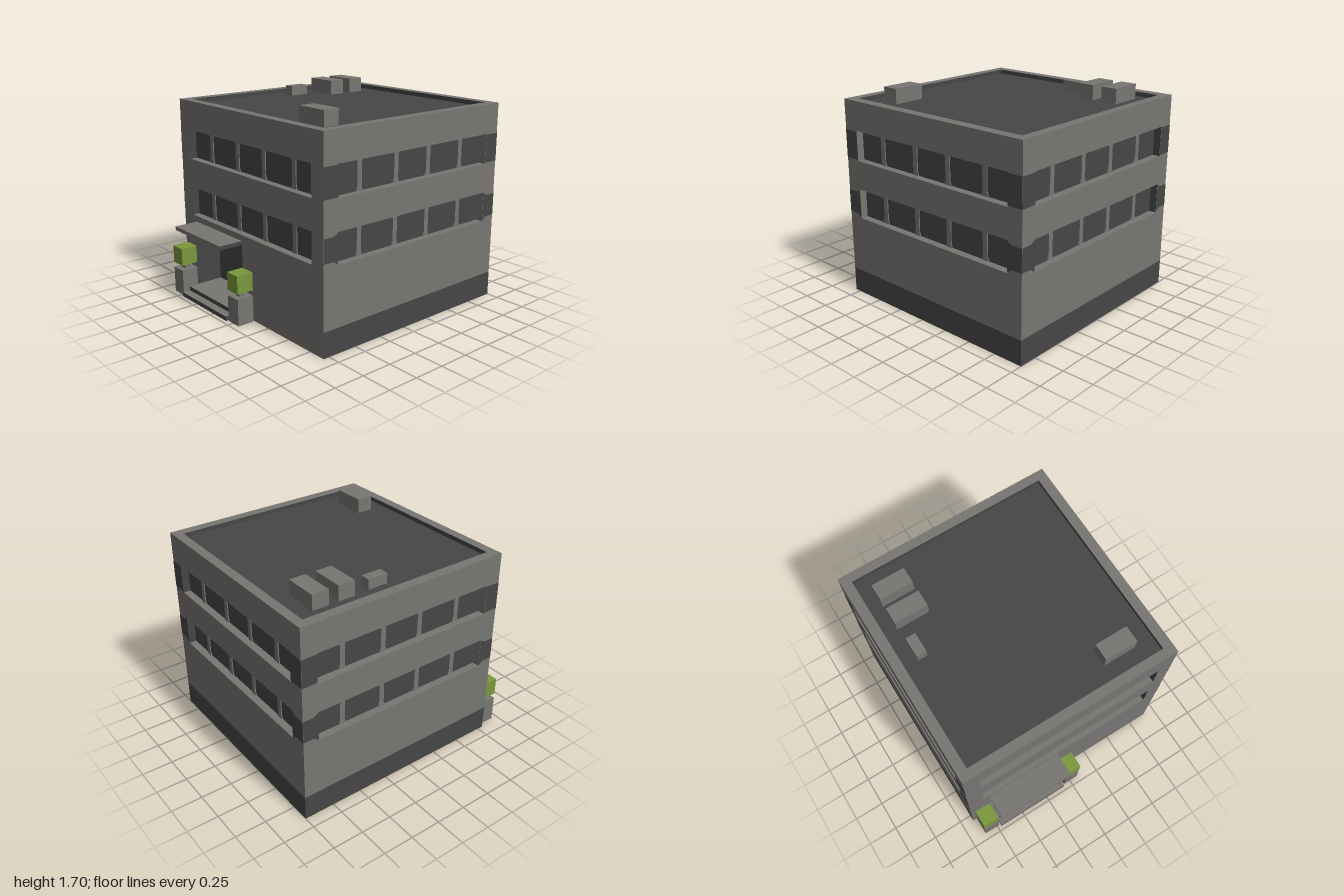
import * as THREE from 'three';

const flat = (name, color) => {
  const m = new THREE.MeshStandardMaterial({ color, side: THREE.DoubleSide });
  m.name = name;
  return m;
};

export function createModel() {
  const concrete = flat('concrete', 0x777673);
  const dark = flat('darkGrey', 0x464646);
  const leaf = flat('leafGreen', 0x7a983c);
  const model = new THREE.Group();
  model.name = 'officeBuilding';

  const add = (parent, name, geometry, material, x = 0, y = 0, z = 0) => {
    const mesh = new THREE.Mesh(geometry, material);
    mesh.name = name;
    mesh.position.set(x, y, z);
    parent.add(mesh);
    return mesh;
  };
  // box given by its min and max corners
  const box = (parent, name, mat, [x0, y0, z0], [x1, y1, z1]) =>
    add(parent, name, new THREE.BoxGeometry(x1 - x0, y1 - y0, z1 - z0), mat,
      (x0 + x1) / 2, (y0 + y1) / 2, (z0 + z1) / 2);
  const outline = (points) => new THREE.Shape(points.map(([x, y]) => new THREE.Vector2(x, y)));
  const rect = (x0, y0, x1, y1) => outline([[x0, y0], [x1, y0], [x1, y1], [x0, y1]]);
  const sheet = (shape) => new THREE.ShapeGeometry(shape);

  const H = 1.615, HALF = 0.9, WIN = 0.773, DEPTH = 0.06;
  const rows = [[0.665, 0.905], [1.14, 1.38]];
  const pillars = [-0.53, -0.173, 0.163, 0.52];

  // open recess: sill, soffit and two jambs running back from z = front
  const recess = (parent, name, [x0, y0, x1, y1], depth, front, sillMat, topMat, jambMat) => {
    const w = x1 - x0, h = y1 - y0, cx = (x0 + x1) / 2, cy = (y0 + y1) / 2, z = front - depth / 2;
    const level = () => new THREE.PlaneGeometry(w, depth).rotateX(-Math.PI / 2);
    const side = () => new THREE.PlaneGeometry(depth, h).rotateY(Math.PI / 2);
    add(parent, name + 'Sill', level(), sillMat, cx, y0, z);
    add(parent, name + 'Soffit', level(), topMat, cx, y1, z);
    add(parent, name + 'JambA', side(), jambMat, x0, cy, z);
    add(parent, name + 'JambB', side(), jambMat, x1, cy, z);
    add(parent, name + 'Pane', new THREE.PlaneGeometry(w, h), dark, cx, cy, front - depth);
  };

  // pillar between panes, slightly flared at head and foot
  const pillarGeometry = (y0, y1) => {
    const a = 0.021, b = 0.03, f = 0.035;
    const g = new THREE.ExtrudeGeometry(outline([
      [-b, y0], [b, y0], [a, y0 + f], [a, y1 - f], [b, y1],
      [-b, y1], [-a, y1 - f], [-a, y0 + f]]), { depth: 0.016, bevelEnabled: false });
    return g.translate(0, 0, -DEPTH - 0.008);
  };

  const shell = new THREE.Group();
  shell.name = 'shell';
  shell.position.z = -0.1;
  model.add(shell);

  // four walls, each built facing +z and turned into place
  ['frontWall', 'leftWall', 'backWall', 'rightWall'].forEach((name, i) => {
    const turn = new THREE.Group();
    turn.name = name;
    turn.rotation.y = i * Math.PI / 2;
    const wall = new THREE.Group();
    wall.position.z = HALF;
    turn.add(wall);
    shell.add(turn);

    const face = i === 0
      ? outline([[-HALF, 0], [-0.72, 0], [-0.72, 0.6], [-0.07, 0.6], [-0.07, 0], [HALF, 0], [HALF, H], [-HALF, H]])
      : rect(-HALF, 0.2, HALF, H);
    rows.forEach(([y0, y1]) => face.holes.push(rect(-WIN, y0, WIN, y1)));
    add(wall, 'wallFace', sheet(face), concrete);

    rows.forEach(([y0, y1]) => {
      recess(wall, 'window', [-WIN, y0, WIN, y1], DEPTH, 0, concrete, dark, i % 2 ? concrete : dark);
      pillars.forEach((x) => add(wall, 'windowPillar', pillarGeometry(y0, y1), concrete, x));
    });

    // dark plinth and the dark bands that wrap the corners
    if (i > 0) {
      add(wall, 'plinth', sheet(rect(-HALF, 0, HALF, 0.2)), dark);
      [-1, 1].forEach((s) => {
        add(wall, 'upperCornerBand', sheet(rect(s * WIN, 1.15, s * HALF, 1.375)), dark, 0, 0, 0.002);
        add(wall, 'lowerCornerBand', sheet(outline([
          [s * WIN, 0.672], [s * 0.815, 0.7], [s * HALF, 0.7],
          [s * HALF, 0.88], [s * 0.815, 0.88], [s * WIN, 0.9]])), dark, 0, 0, 0.002);
      });
    }
  });

  // parapet rim, its inner faces and the sunken roof
  const rim = rect(-HALF, -HALF, HALF, HALF);
  rim.holes.push(rect(-0.82, -0.825, 0.82, 0.825));
  add(shell, 'parapetRim', sheet(rim).rotateX(-Math.PI / 2), concrete, 0, H, 0);
  const ROOF = 1.58;
  [-1, 1].forEach((s) => {
    add(shell, 'parapetSide', new THREE.PlaneGeometry(1.65, H - ROOF).rotateY(-s * Math.PI / 2), dark,
      s * 0.82, (H + ROOF) / 2, 0);
    add(shell, 'parapetEnd', new THREE.PlaneGeometry(1.64, H - ROOF).rotateY(s > 0 ? Math.PI : 0), dark,
      0, (H + ROOF) / 2, s * 0.825);
  });
  add(shell, 'roof', new THREE.PlaneGeometry(1.64, 1.65).rotateX(-Math.PI / 2), dark, 0, ROOF, 0);

  // rooftop units: x0, x1, z0, z1, top
  [[-0.72, -0.45, -0.78, -0.645, 1.7], [-0.72, -0.45, -0.565, -0.43, 1.7],
    [-0.71, -0.63, -0.305, -0.14, 1.66], [0.4, 0.667, 0.465, 0.6, 1.7]]
    .forEach(([x0, x1, z0, z1, top]) => box(model, 'roofUnit', concrete, [x0, ROOF, z0], [x1, top, z1]));

  // entrance niche, steps with dark risers, and canopy
  recess(model, 'entrance', [-0.72, 0.01, -0.07, 0.6], 0.21, 0.8, dark, dark, dark);
  const stepMats = [dark, dark, concrete, dark, dark, dark];
  box(model, 'upperStep', stepMats, [-0.718, 0.035, 0.592], [-0.072, 0.07, 0.9]);
  box(model, 'lowerStep', stepMats, [-0.718, 0, 0.8], [-0.072, 0.035, 0.967]);
  box(model, 'canopy', [dark, dark, concrete, dark, concrete, dark], [-0.72, 0.585, 0.8], [-0.07, 0.616, 1]);

  // planters with clipped shrubs either side of the entrance
  [-0.798, 0.007].forEach((x) => {
    const planter = new THREE.Group();
    planter.name = 'planter';
    planter.position.set(x, 0, 0.88);
    model.add(planter);
    box(planter, 'pedestal', concrete, [-0.067, 0, -0.07], [0.067, 0.215, 0.07]);
    box(planter, 'trunk', concrete, [-0.024, 0.215, -0.024], [0.024, 0.26, 0.024]);
    box(planter, 'shrub', leaf, [-0.067, 0.26, -0.07], [0.067, 0.405, 0.07]);
  });

  return model;
}
